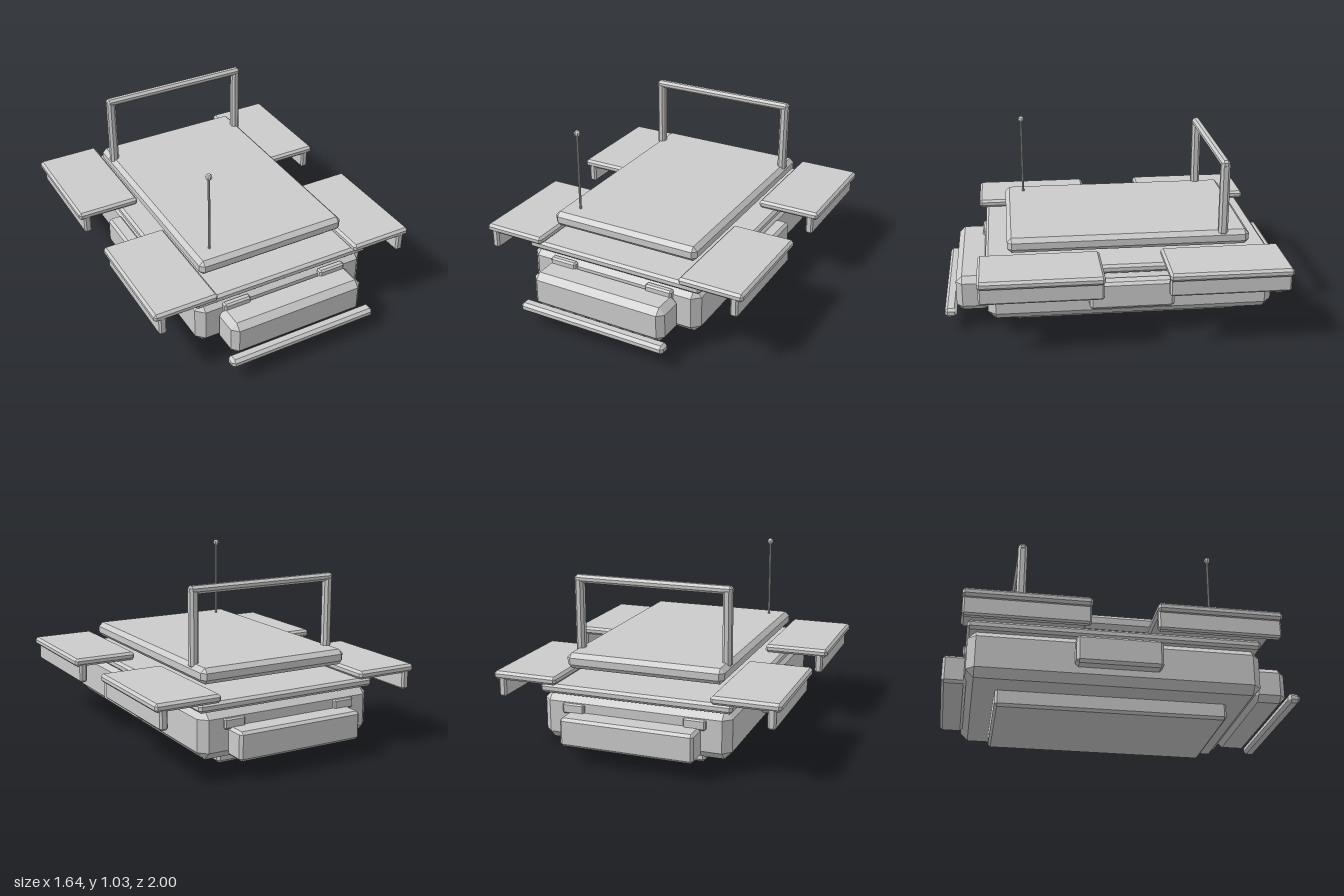
import * as THREE from 'three';
import { ConvexGeometry } from 'three/addons/geometries/ConvexGeometry.js';

const material = new THREE.MeshStandardMaterial({ color: 0xcccccc, flatShading: true });

// Box with every edge cut by one flat chamfer of width c, given by its extents
function chamferBox(name, [x0, x1], [y0, y1], [z0, z1], c) {
  const half = [(x1 - x0) / 2, (y1 - y0) / 2, (z1 - z0) / 2];
  const points = [];
  for (const sx of [-1, 1]) for (const sy of [-1, 1]) for (const sz of [-1, 1]) {
    for (let face = 0; face < 3; face++) {
      const p = half.map((h, axis) => (axis === face ? h : h - c));
      points.push(new THREE.Vector3(p[0] * sx, p[1] * sy, p[2] * sz));
    }
  }
  const mesh = new THREE.Mesh(new ConvexGeometry(points), material);
  mesh.name = name;
  mesh.position.set((x0 + x1) / 2, (y0 + y1) / 2, (z0 + z1) / 2);
  return mesh;
}

export function createModel() {
  const model = new THREE.Group();
  model.name = 'vehicleBody';
  const box = (...args) => model.add(chamferBox(...args));

  // Mirrored pair of boxes; x extents are given for the +x side
  const pair = (name, [x0, x1], y, z, c) => {
    box(name + 'Left', [x0, x1], y, z, c);
    box(name + 'Right', [-x1, -x0], y, z, c);
  };

  // Hull, belly and decks
  box('hull', [-0.54, 0.54], [0.29, 0.56], [-0.875, 0.75], 0.045);
  box('bellyPlate', [-0.345, 0.345], [0.2, 0.32], [-0.708, 0.595], 0.015);
  box('deckPlate', [-0.55, 0.55], [0.555, 0.607], [-0.882, 0.755], 0.015);
  box('roof', [-0.458, 0.458], [0.66, 0.748], [-0.747, 0.63], 0.025);

  // Nose, bumper and rear box
  box('nose', [-0.418, 0.418], [0.3, 0.508], [0.73, 0.928], 0.035);
  box('frontBumper', [-0.458, 0.458], [0.285, 0.338], [0.925, 0.995], 0.016);
  box('rearBox', [-0.38, 0.38], [0.305, 0.465], [-1, -0.865], 0.015);

  // Lamps
  pair('headlamp', [0.225, 0.39], [0.475, 0.543], [0.735, 0.778], 0.01);
  pair('tailLamp', [0.285, 0.41], [0.455, 0.513], [-0.895, -0.86], 0.008);

  // Side pods
  pair('sidePod', [0.53, 0.62], [0.37, 0.53], [-0.295, 0.182], 0.016);

  // Fenders with a hanging outer skirt
  for (const [end, z0, z1] of [['front', 0.113, 0.797], ['rear', -0.917, -0.235]]) {
    pair(end + 'Fender', [0.44, 0.818], [0.61, 0.657], [z0, z1], 0.014);
    pair(end + 'FenderSkirt', [0.745, 0.79], [0.513, 0.63], [z0 + 0.004, z1 - 0.004], 0.01);
  }

  // Roll bar
  pair('rollBarPost', [0.407, 0.457], [0.72, 1.15], [-0.622, -0.568], 0.014);
  box('rollBarTop', [-0.459, 0.459], [1.12, 1.165], [-0.62, -0.57], 0.014);

  // Aerial with a faceted tip
  const rod = new THREE.Mesh(new THREE.CylinderGeometry(0.007, 0.007, 0.48, 8), material);
  rod.name = 'aerial';
  rod.position.set(-0.348, 0.97, 0.518);
  const tip = new THREE.Mesh(new THREE.SphereGeometry(0.019, 8, 6), material);
  tip.name = 'aerialTip';
  tip.position.set(-0.348, 1.216, 0.518);
  model.add(rod, tip);

  return model;
}
